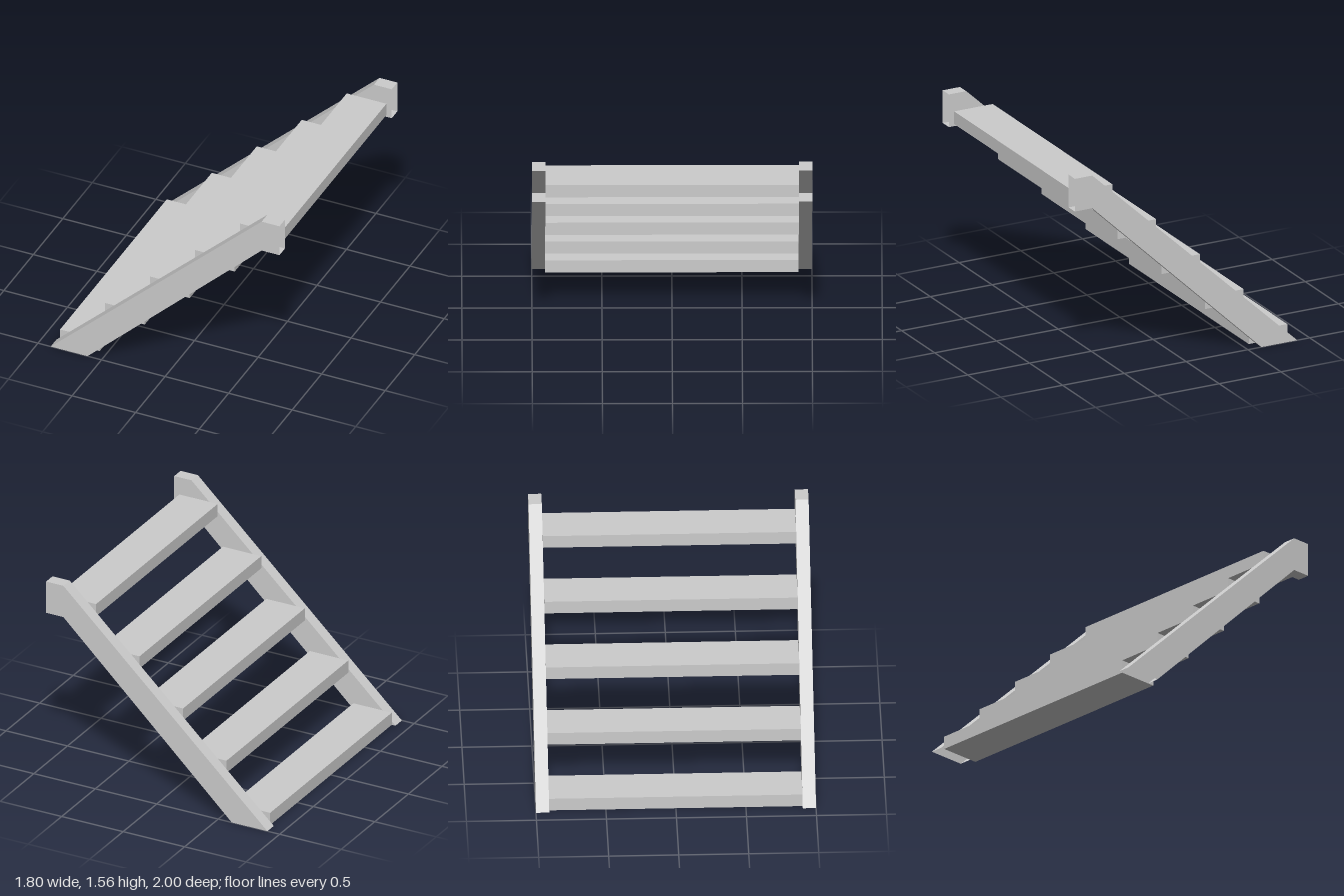
import * as THREE from 'three';

const grey = new THREE.MeshStandardMaterial({ color: 0xcccccc, flatShading: true });
const greyOpen = new THREE.MeshStandardMaterial({ color: 0xcccccc, flatShading: true, side: THREE.DoubleSide });

const INNER = 0.905, OUTER = 1;

// Stations along a stringer, foot to head: [upper x, upper y, lower x, lower y]
const STATIONS = [
  [-0.9, 0, -0.61, 0],
  [0.76, 1.56, 0.76, 1.31],
  [0.9, 1.56, 0.9, 1.31],
];

// Four-sided sleeve through the stations, open at the foot and the head
function stringerGeometry(z0, z1) {
  const positions = [];
  const rings = STATIONS.map(([ux, uy, lx, ly]) => [
    [ux, uy, z0], [ux, uy, z1], [lx, ly, z1], [lx, ly, z0],
  ]);
  for (let i = 0; i < rings.length - 1; i++) {
    const a = rings[i], b = rings[i + 1];
    for (let k = 0; k < 4; k++) {
      const n = (k + 1) % 4;
      positions.push(...a[k], ...a[n], ...b[n], ...a[k], ...b[n], ...b[k]);
    }
  }
  const geometry = new THREE.BufferGeometry();
  geometry.setAttribute('position', new THREE.Float32BufferAttribute(positions, 3));
  geometry.computeVertexNormals();
  return geometry;
}

export function createModel() {
  const stairs = new THREE.Group();
  stairs.name = 'stairs';

  // Side stringers
  const front = new THREE.Mesh(stringerGeometry(INNER, OUTER), greyOpen);
  front.name = 'frontStringer';
  const back = new THREE.Mesh(stringerGeometry(-OUTER, -INNER), greyOpen);
  back.name = 'backStringer';
  stairs.add(front, back);

  // Evenly spaced treads between the stringers
  const treadGeometry = new THREE.BoxGeometry(0.312, 0.097, 2 * INNER);
  for (let i = 0; i < 5; i++) {
    const tread = new THREE.Mesh(treadGeometry, grey);
    tread.name = `tread${i + 1}`;
    tread.position.set(-0.714 + 0.354 * i, 0.0485 + 0.3315 * i, 0);
    stairs.add(tread);
  }
  return stairs;
}
